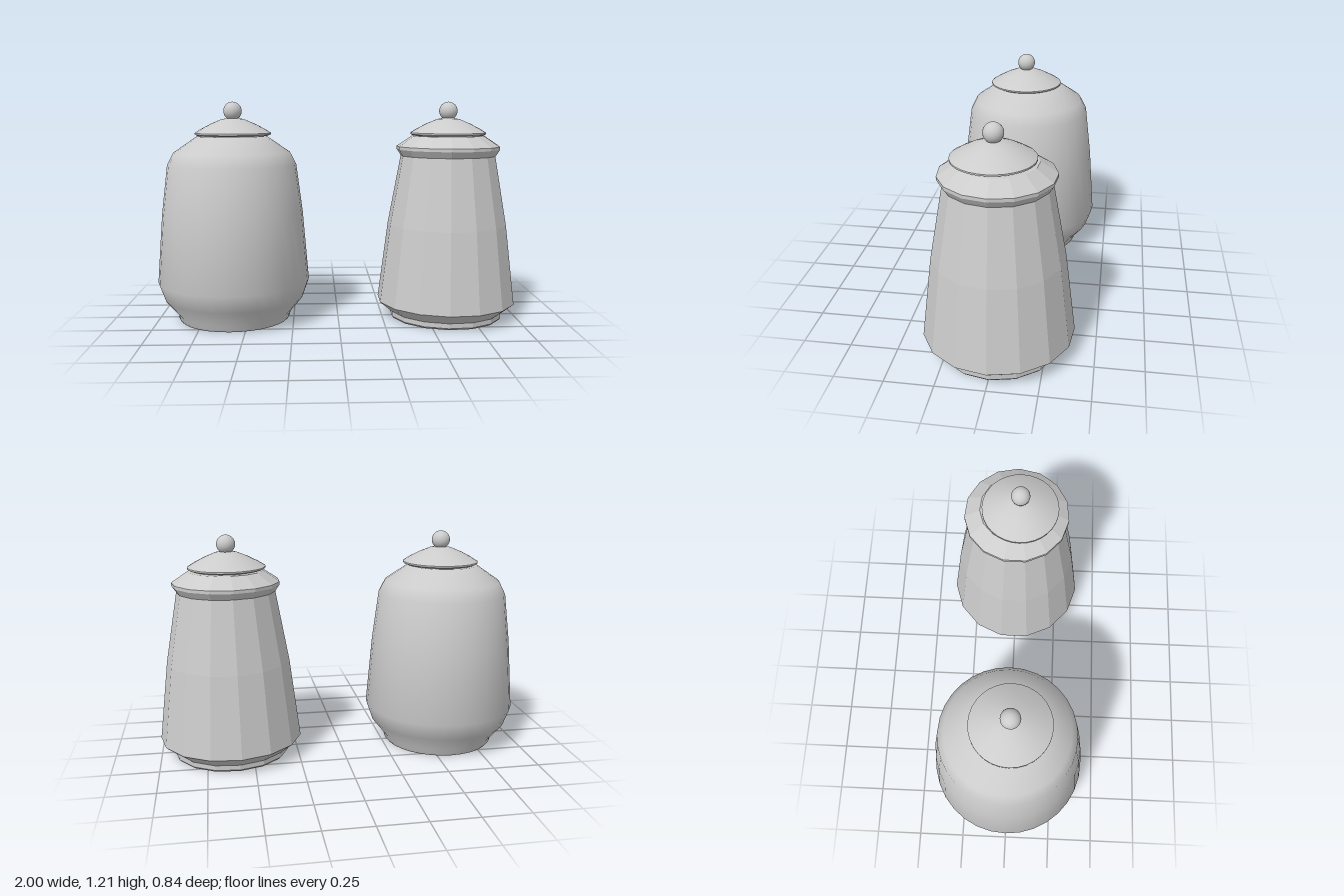
import * as THREE from 'three';
import { toCreasedNormals } from 'three/addons/utils/BufferGeometryUtils.js';

// Revolved solid from [radius, height] pairs, with a vertex column on +x
function turned(name, profile, sides, flat = false) {
  const points = profile.map(([r, y]) => new THREE.Vector2(r, y));
  let geometry = new THREE.LatheGeometry(points, sides, Math.PI / 2);
  if (!flat) geometry = toCreasedNormals(geometry, 0.8);
  const material = new THREE.MeshStandardMaterial({ color: 0xcccccc, flatShading: flat });
  const mesh = new THREE.Mesh(geometry, material);
  mesh.name = name;
  return mesh;
}

// Domed lid with a ball knob
function makeLid() {
  const lid = new THREE.Group();
  lid.name = 'lid';
  const dome = turned('lidDome', [
    [0, 1.022], [0.19, 1.022], [0.207, 1.03], [0.207, 1.038], [0.175, 1.058],
    [0.12, 1.087], [0.06, 1.112], [0, 1.122],
  ], 32);
  const knob = new THREE.Mesh(
    new THREE.SphereGeometry(0.05, 24, 16),
    new THREE.MeshStandardMaterial({ color: 0xcccccc }),
  );
  knob.name = 'lidKnob';
  knob.position.y = 1.156;
  lid.add(dome, knob);
  return lid;
}

export function createModel() {
  const model = new THREE.Group();
  model.name = 'jarPair';

  // Round jar: narrow foot, swelling belly, soft shoulder
  const roundJar = new THREE.Group();
  roundJar.name = 'roundJar';
  const roundLid = makeLid();
  roundLid.position.set(0.008, 0, 0.015);
  roundJar.add(turned('roundJarBody', [
    [0, 0], [0.3, 0], [0.31, 0.012], [0.312, 0.036], [0.385, 0.125], [0.418, 0.22],
    [0.386, 0.6], [0.352, 0.865], [0.318, 0.932], [0.19, 1.02], [0, 1.024],
  ], 32), roundLid);
  roundJar.position.x = -0.582;

  // Faceted jar: tapering panels with a flared collar
  const facetedJar = new THREE.Group();
  facetedJar.name = 'facetedJar';
  const facetedLid = makeLid();
  facetedLid.position.set(-0.006, 0, 0.019);
  facetedJar.add(turned('facetedJarBody', [
    [0, 0], [0.307, 0], [0.316, 0.01], [0.316, 0.037], [0.387, 0.095],
    [0.332, 0.53], [0.263, 0.91], [0.286, 0.945], [0.286, 0.962], [0.2, 1.02], [0, 1.024],
  ], 15, true), facetedLid);
  facetedJar.position.set(0.613, 0, -0.004);

  model.add(roundJar, facetedJar);
  return model;
}
